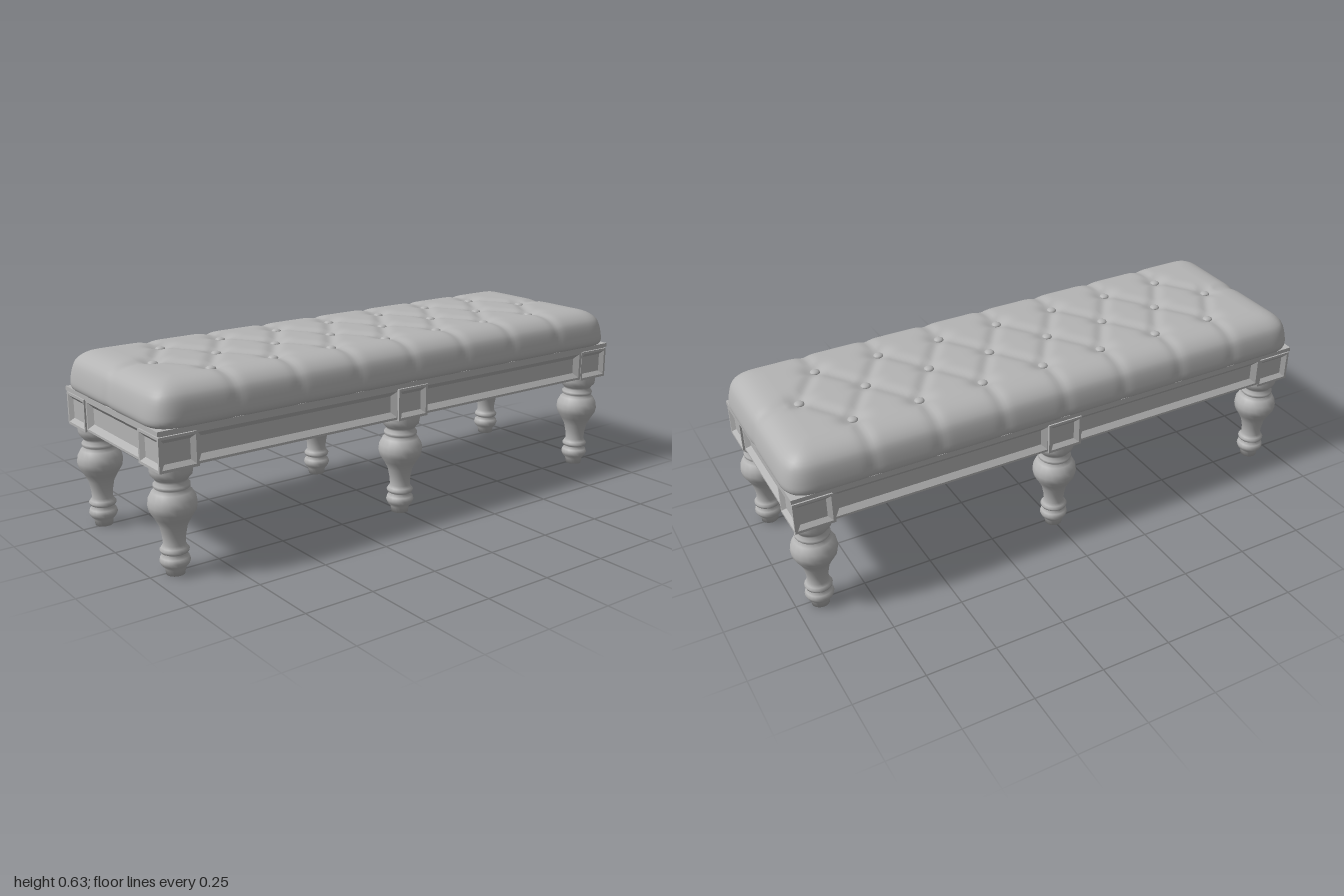
import * as THREE from 'three';

const grey = new THREE.MeshStandardMaterial({ color: 0xb4b4b4 });
grey.name = 'plain grey';

const TOP = 0.48, BOTTOM = 0.37;

function add(parent, name, geometry, x = 0, y = 0, z = 0) {
  const mesh = new THREE.Mesh(geometry, grey);
  mesh.name = name;
  mesh.position.set(x, y, z);
  parent.add(mesh);
  return mesh;
}

// Rectangular slab facing +z with a raised lip and a sunken, sloping field
function panelGeometry(w, h, thick, lip, slope, sink, miter) {
  const rings = [
    [w - 2 * miter, h, -thick], [w, h, 0],
    [w - 2 * lip, h - 2 * lip, 0],
    [w - 2 * (lip + slope), h - 2 * (lip + slope), -sink],
  ];
  const pos = [], idx = [];
  for (const [a, b, z] of rings)
    pos.push(-a / 2, -b / 2, z, a / 2, -b / 2, z, a / 2, b / 2, z, -a / 2, b / 2, z);
  for (let r = 0; r < 3; r++)
    for (let i = 0; i < 4; i++) {
      const a = r * 4 + i, b = r * 4 + (i + 1) % 4;
      idx.push(a, b, b + 4, a, b + 4, a + 4);
    }
  idx.push(12, 13, 14, 12, 14, 15);
  const g = new THREE.BufferGeometry();
  g.setAttribute('position', new THREE.Float32BufferAttribute(pos, 3));
  g.setIndex(idx);
  const flat = g.toNonIndexed();
  flat.computeVertexNormals();
  return flat;
}

// Button grid: seven, eight, seven
const buttons = [];
for (let i = 0; i < 8; i++) buttons.push([-0.828 + i * 0.237, 0]);
for (const z of [-0.174, 0.17])
  for (let i = 0; i < 7; i++) buttons.push([-0.71 + i * 0.237, z]);

// Folds: diagonals between buttons and creases running to the rim
const folds = [];
for (const [x, z] of buttons) {
  if (z === 0) {
    if (Math.abs(x) > 0.8) folds.push([x, z, Math.sign(x) * 1.3, 0]);
    continue;
  }
  folds.push([x, z, x - 0.118, 0], [x, z, x + 0.118, 0], [x, z, x, Math.sign(z) * 0.7]);
}

function tuftDepth(x, z) {
  let fold = 0, dimple = 0;
  for (const [ax, az, bx, bz] of folds) {
    const dx = bx - ax, dz = bz - az;
    const t = THREE.MathUtils.clamp(((x - ax) * dx + (z - az) * dz) / (dx * dx + dz * dz), 0, 1);
    const d = Math.hypot(x - ax - t * dx, z - az - t * dz);
    fold = Math.max(fold, 0.009 * Math.exp(-((d / 0.022) ** 2)));
  }
  for (const [bx, bz] of buttons)
    dimple = Math.max(dimple, 0.02 * Math.exp(-((Math.hypot(x - bx, z - bz) / 0.04) ** 2)));
  return Math.max(fold, dimple);
}

// Tufted cushion: a plane whose border strip wraps down over the rim
function cushionGeometry() {
  const cx = 0.88, cz = 0.224, strip = 0.22;
  const rim = new THREE.CatmullRomCurve3([
    [0, 0.635], [0.04, 0.631], [0.073, 0.62], [0.1, 0.598], [0.112, 0.57],
    [0.119, 0.535], [0.12, 0.515], [0.113, 0.5], [0.09, 0.498],
  ].map(([r, y]) => new THREE.Vector3(r, y, 0)));
  const g = new THREE.PlaneGeometry(2 * (cx + strip), 2 * (cz + strip), 180, 76);
  g.rotateX(-Math.PI / 2);
  const p = g.attributes.position, v = new THREE.Vector3();
  for (let i = 0; i < p.count; i++) {
    const x = p.getX(i), z = p.getZ(i);
    const a = Math.max(Math.abs(x) - cx, 0) / strip;
    const b = Math.max(Math.abs(z) - cz, 0) / strip;
    const t = Math.min(Math.max(a, b), 1);
    const dip = tuftDepth(x, z);
    rim.getPoint(t, v);
    const norm = Math.cbrt(a ** 3 + b ** 3) || 1;
    const out = v.x - dip * 0.6 * t;
    p.setXYZ(i,
      Math.sign(x) * (Math.min(Math.abs(x), cx) + out * a / norm),
      v.y - dip * (1 - t),
      Math.sign(z) * (Math.min(Math.abs(z), cz) + out * b / norm));
  }
  g.computeVertexNormals();
  return g;
}

// Turned leg
const legProfile = [
  [0, 0], [0.031, 0], [0.033, 0.02], [0.045, 0.034], [0.05, 0.047], [0.046, 0.06],
  [0.034, 0.07], [0.045, 0.076], [0.048, 0.085], [0.042, 0.093], [0.036, 0.103],
  [0.038, 0.13], [0.045, 0.165], [0.06, 0.193], [0.075, 0.217], [0.079, 0.237],
  [0.076, 0.258], [0.064, 0.28], [0.052, 0.288], [0.059, 0.295], [0.059, 0.304],
  [0.05, 0.314], [0.055, 0.323], [0.066, 0.335], [0.069, 0.35], [0.069, 0.37],
].map(([r, y]) => new THREE.Vector2(r, y));

export function createModel() {
  const model = new THREE.Group();
  model.name = 'tuftedBench';

  // Upholstery
  add(model, 'cushion', cushionGeometry());
  const buttonGeometry = new THREE.SphereGeometry(0.018, 12, 8);
  for (const [x, z] of buttons)
    add(model, 'button', buttonGeometry, x, 0.62, z).scale.y = 0.5;

  // Frame core and top moulding
  const h = TOP - BOTTOM, mid = (TOP + BOTTOM) / 2;
  add(model, 'frameCore', new THREE.BoxGeometry(1.93, h - 0.006, 0.61), 0, mid, 0);
  add(model, 'topMoulding', new THREE.BoxGeometry(1.986, 0.015, 0.67), 0, 0.4925, 0);
  add(model, 'mouldingStep', new THREE.BoxGeometry(1.97, 0.008, 0.654), 0, 0.482, 0);

  // Aprons with sunken fields
  const longApron = panelGeometry(0.8, h, 0.03, 0.008, 0.018, 0.016, 0);
  const endApron = panelGeometry(0.4, h, 0.03, 0.008, 0.018, 0.016, 0);
  for (const s of [1, -1]) {
    for (const x of [-0.458, 0.458])
      add(model, 'longApron', longApron, x, mid, s * 0.325).rotation.y = s > 0 ? 0 : Math.PI;
    add(model, 'endApron', endApron, s * 0.983, mid, 0).rotation.y = s * Math.PI / 2;
  }

  // Legs with their panelled blocks
  const leg = new THREE.LatheGeometry(legProfile, 20);
  const bh = 0.114, by = 0.423;
  const cornerPanel = panelGeometry(0.138, bh, 0.022, 0.009, 0.014, 0.013, 0.022);
  const middlePanel = panelGeometry(0.13, bh, 0.022, 0.009, 0.014, 0.013, 0);
  for (const sz of [1, -1]) {
    const turn = sz > 0 ? 0 : Math.PI;
    for (const sx of [-1, 0, 1]) {
      const x = sx * 0.922, z = sz * 0.265;
      const post = new THREE.Group();
      post.name = sx ? 'cornerLeg' : 'middleLeg';
      post.position.set(x, 0, z);
      model.add(post);
      add(post, 'turnedLeg', leg, -sx * 0.006, 0, -sz * 0.002);
      add(post, 'legBlock', new THREE.BoxGeometry(sx ? 0.124 : 0.13, bh, 0.124),
        -sx * 0.008, by, -sz * 0.008);
      add(post, 'blockPanel', sx ? cornerPanel : middlePanel, 0, by, sz * 0.069).rotation.y = turn;
      if (sx)
        add(post, 'blockPanel', cornerPanel, sx * 0.069, by, 0).rotation.y = sx * Math.PI / 2;
    }
  }
  return model;
}
